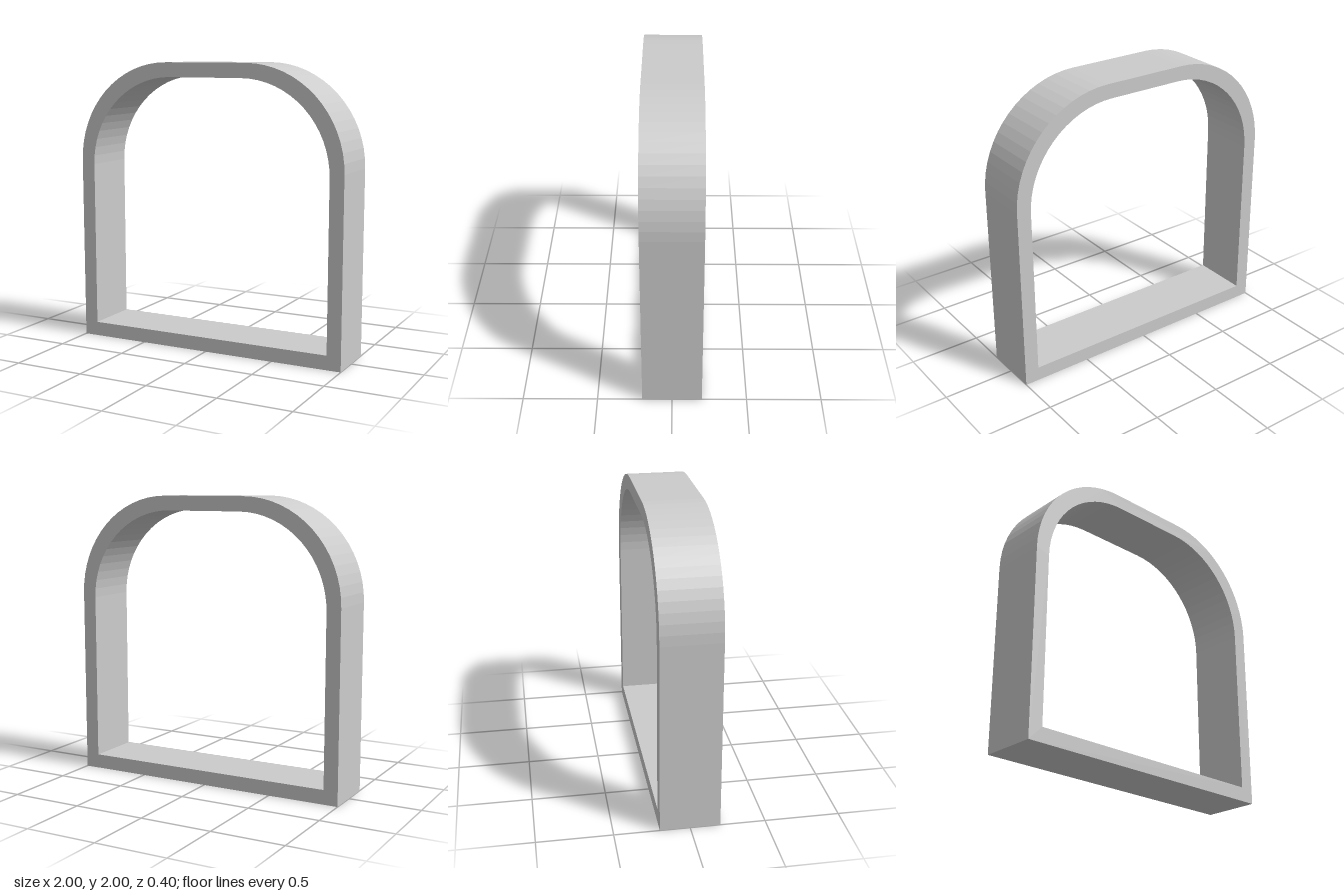
import * as THREE from 'three';

// Traces a square-bottomed outline with two rounded top corners
function trace(path, halfWidth, bottom, top, radius) {
  path.moveTo(-halfWidth, bottom);
  path.lineTo(halfWidth, bottom);
  path.lineTo(halfWidth, top - radius);
  path.absarc(halfWidth - radius, top - radius, radius, 0, Math.PI / 2, false);
  path.lineTo(radius - halfWidth, top);
  path.absarc(radius - halfWidth, top - radius, radius, Math.PI / 2, Math.PI, false);
  path.closePath();
  return path;
}

export function createModel() {
  const depth = 0.4;
  const group = new THREE.Group();
  group.name = 'archedFrame';

  // Frame: outer outline with the opening cut through
  const outline = trace(new THREE.Shape(), 1, 0, 2, 0.7);
  outline.holes.push(trace(new THREE.Path(), 0.9, 0.1, 1.9, 0.63));

  const geometry = new THREE.ExtrudeGeometry(outline, { depth, bevelEnabled: false, curveSegments: 8 });
  geometry.translate(0, 0, -depth / 2);

  const frame = new THREE.Mesh(
    geometry,
    new THREE.MeshStandardMaterial({ color: 0xcccccc, flatShading: true })
  );
  frame.name = 'frame';
  group.add(frame);
  return group;
}
